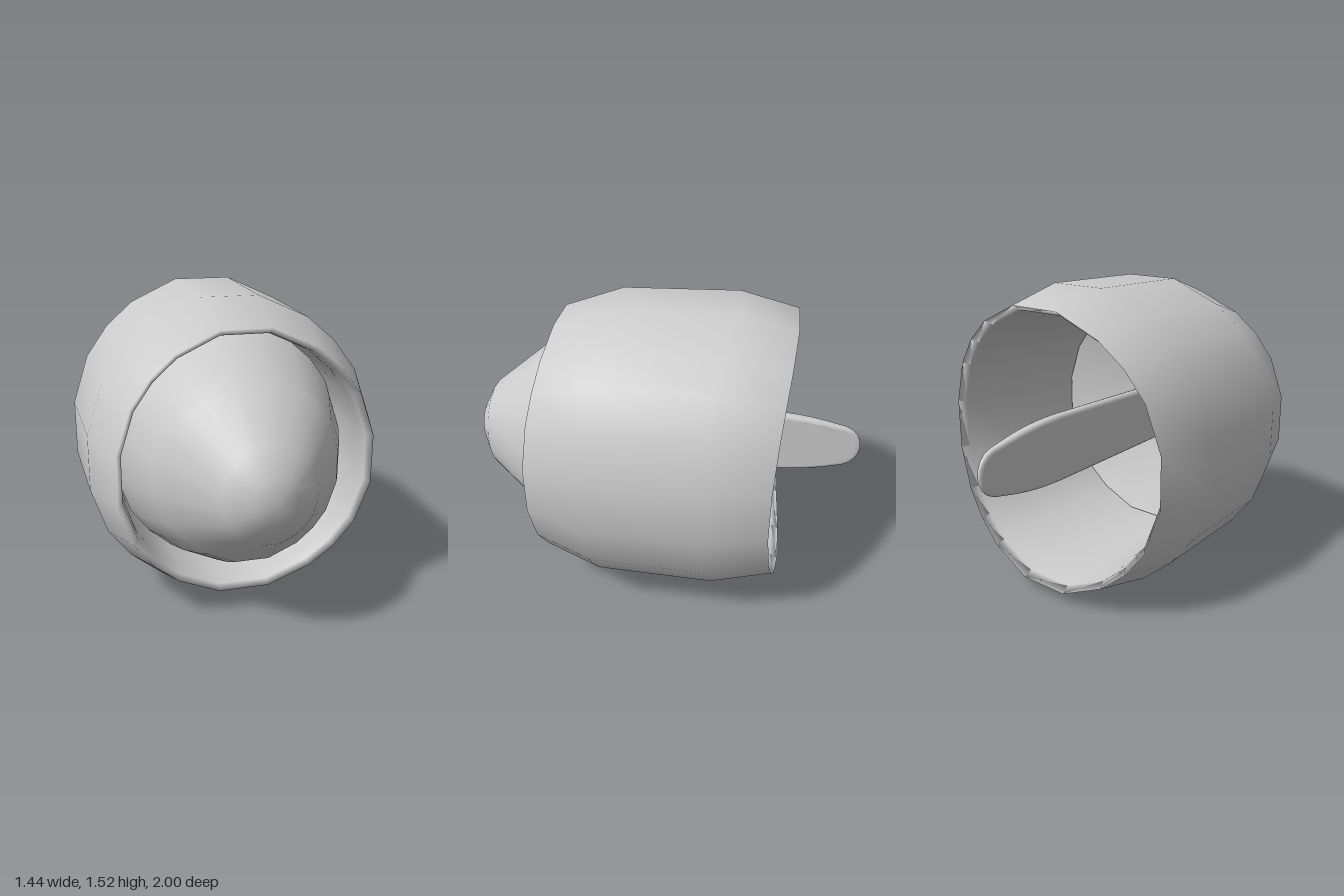
import * as THREE from 'three';
import { mergeVertices } from 'three/addons/utils/BufferGeometryUtils.js';

const CY = 0.76;
// One quadrant of the 20-sided cross-section, mirrored into a full ring
const quad = [[0.72, 0.14], [0.64, 0.38], [0.53, 0.53], [0.39, 0.65], [0.145, 0.76]];
const back = [...quad].reverse();
const ring = [
  ...quad,
  ...back.map(([x, y]) => [-x, y]),
  ...quad.map(([x, y]) => [-x, -y]),
  ...back.map(([x, y]) => [x, -y]),
];

// Lofts the ring along z: profile is a list of [scale, z]; bend pushes top and bottom backwards
function loft(profile, bend, closed) {
  const n = ring.length, pos = [], index = [];
  for (const [s, z] of profile) {
    for (const [x, y] of ring) pos.push(x * s, y * s, z - bend * (y * s / CY) ** 2);
  }
  const rows = closed ? profile.length : profile.length - 1;
  for (let i = 0; i < rows; i++) {
    const k = (i + 1) % profile.length;
    for (let j = 0; j < n; j++) {
      const m = (j + 1) % n;
      const a = i * n + j, b = i * n + m, c = k * n + m, d = k * n + j;
      index.push(a, b, c, a, c, d);
    }
  }
  let g = new THREE.BufferGeometry();
  g.setAttribute('position', new THREE.Float32BufferAttribute(pos, 3));
  g.setIndex(index);
  g = mergeVertices(g);
  g.computeVertexNormals();
  return g;
}

// Flat loop with a slot, drawn as (z, y), rounded at the edges and thinned towards the tail
function tailLoopGeometry() {
  const h = 0.025, inset = 0.02;
  const shape = new THREE.Shape();
  shape.moveTo(0.38, -0.13);
  shape.lineTo(0.38, 0.13);
  shape.lineTo(-0.5, 0.15);
  shape.bezierCurveTo(-0.68, 0.15, -0.78, 0.125, -0.91, 0.095);
  shape.bezierCurveTo(-1.003, 0.07, -1.003, -0.07, -0.91, -0.095);
  shape.bezierCurveTo(-0.78, -0.125, -0.68, -0.145, -0.5, -0.145);
  shape.closePath();
  const slot = new THREE.Path();
  slot.moveTo(0.33, -0.1);
  slot.lineTo(-0.5, -0.115);
  slot.bezierCurveTo(-0.63, -0.11, -0.63, 0.11, -0.5, 0.115);
  slot.lineTo(0.33, 0.1);
  slot.closePath();
  let g = new THREE.ExtrudeGeometry(shape, {
    depth: 0.016, bevelEnabled: true, bevelThickness: h - 0.008,
    bevelSize: inset, bevelSegments: 3, curveSegments: 8,
  });
  g.translate(0, 0, -0.008);
  g.rotateY(-Math.PI / 2);
  const p = g.attributes.position;
  for (let i = 0; i < p.count; i++) {
    const t = THREE.MathUtils.clamp((-p.getZ(i) - 0.6) / 0.4, 0, 1);
    p.setX(i, p.getX(i) * (1.1 - 0.6 * t * t));
  }
  g.deleteAttribute('uv');
  g.deleteAttribute('normal');
  g = mergeVertices(g, 1e-4);
  g.computeVertexNormals();
  return g;
}

export function createModel() {
  const group = new THREE.Group();
  const material = new THREE.MeshStandardMaterial({ color: 0xcccccc, side: THREE.DoubleSide });
  const add = (name, geometry) => {
    const mesh = new THREE.Mesh(geometry, material);
    mesh.name = name;
    mesh.position.y = CY;
    group.add(mesh);
  };

  // Hollow barrel: outer wall back to front, then inner wall front to back
  add('outerShell', loft([
    [0.91, -0.555], [1, -0.25], [0.98, 0.325], [0.845, 0.6],
    [0.81, 0.57], [0.8, 0.5], [0.8, 0.15], [0.84, -0.28], [0.875, -0.52],
  ], 0.09, true));

  // Rounded nose with a dished back
  add('noseCone', loft([
    [0, 0.36], [0.45, 0.33], [0.79, 0.22], [0.79, 0.23], [0.715, 0.4],
    [0.62, 0.57], [0.566, 0.65], [0.295, 0.91], [0.14, 0.975], [0, 1],
  ], 0, false));

  // Thin slotted loop reaching out of the back
  add('tailLoop', tailLoopGeometry());
  return group;
}
